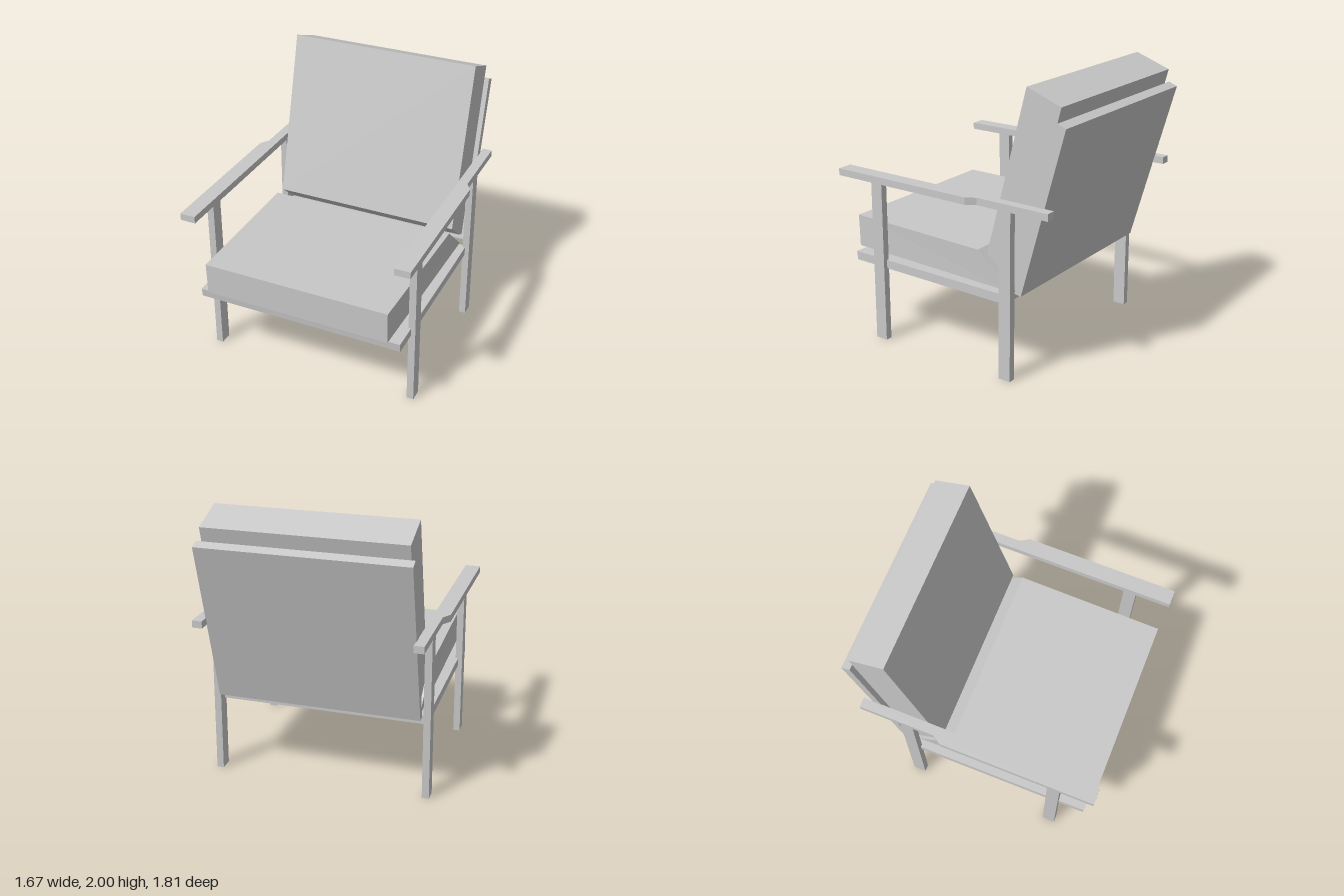
import * as THREE from 'three';

export function createModel() {
  const group = new THREE.Group();
  const grey = new THREE.MeshStandardMaterial({ color: 0xc8c8c8 });
  grey.name = 'plain grey';

  const add = (name, geometry) => {
    const mesh = new THREE.Mesh(geometry, grey);
    mesh.name = name;
    group.add(mesh);
    return mesh;
  };
  const toShape = (points) => new THREE.Shape(points.map(([a, b]) => new THREE.Vector2(a, b)));

  // Side profile given as [z, y], extruded across the chair's width
  const sideSlab = (points, halfWidth) =>
    new THREE.ExtrudeGeometry(toShape(points), { depth: 2 * halfWidth, bevelEnabled: false })
      .translate(0, 0, -halfWidth)
      .rotateY(-Math.PI / 2);

  // Seat: thin board and wedge-backed cushion
  add('seatBoard', sideSlab([[-0.47, 0.535], [0.84, 0.55], [0.847, 0.612], [-0.47, 0.6]], 0.755));
  const cushion = sideSlab([[-0.48, 0.606], [0.88, 0.628], [0.885, 0.862], [-0.21, 0.846]], 0.7);
  const p = cushion.attributes.position;
  for (let i = 0; i < p.count; i++) {
    if (p.getZ(i) > 0.5) p.setX(i, p.getX(i) * 0.97); // narrower toward the front
  }
  cushion.computeVertexNormals();
  add('seatCushion', cushion);

  // Reclined back: cushion in front of a thin board
  add('backCushion', sideSlab([[-0.595, 2.0], [-0.85, 1.905], [-0.525, 0.66], [-0.46, 0.69], [-0.285, 0.838]], 0.695));
  add('backBoard', sideSlab([[-0.842, 1.81], [-0.905, 1.785], [-0.577, 0.608], [-0.525, 0.615]], 0.725));

  for (const [side, s] of [['left', 1], ['right', -1]]) {
    // Armrest outline as [x, -z], stepping in behind the elbow
    const outline = [[0.722, -0.905], [0.833, -0.905], [0.833, 0.21], [0.792, 0.275], [0.792, 0.825], [0.722, 0.825]];
    const arm = new THREE.ExtrudeGeometry(toShape(outline.map(([x, d]) => [s * x, d])), { depth: 0.05, bevelEnabled: false });
    add(side + 'Armrest', arm.rotateX(-Math.PI / 2).translate(0, 1.198, 0));

    // Legs lean in very slightly toward the armrest
    for (const [end, z] of [['Front', 0.605], ['Back', -0.488]]) {
      const leg = new THREE.BoxGeometry(0.05, 1.2, 0.093);
      const q = leg.attributes.position;
      for (let i = 0; i < q.count; i++) q.setX(i, q.getX(i) + s * (q.getY(i) > 0 ? 0.757 : 0.766));
      add(side + end + 'Leg', leg.translate(0, 0.6, z));
    }
  }
  return group;
}
